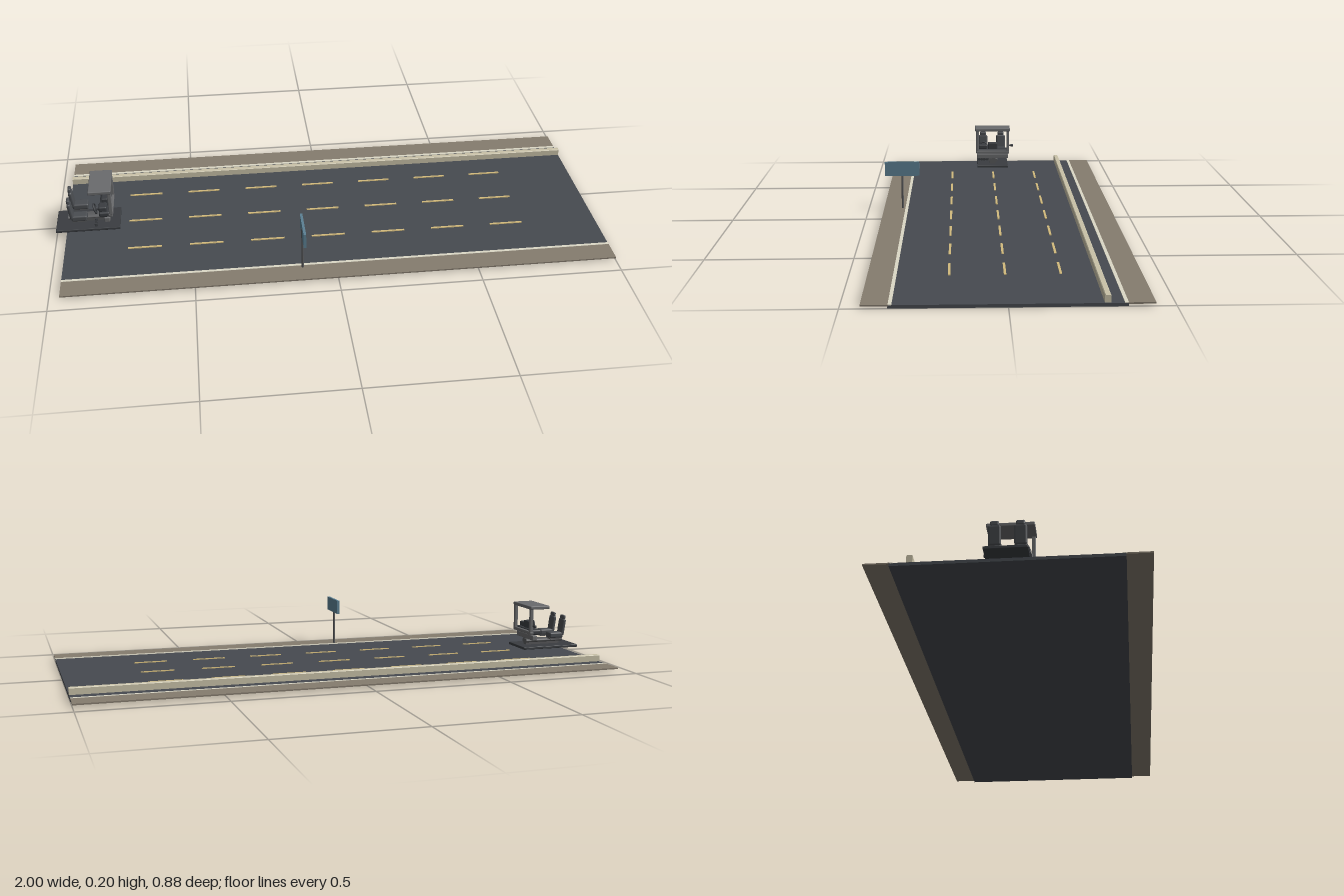
import * as THREE from 'three';
import { RoundedBoxGeometry } from 'three/addons/geometries/RoundedBoxGeometry.js';

const material = (name, color, side = THREE.FrontSide) => {
  const m = new THREE.MeshStandardMaterial({ color, side });
  m.name = name;
  return m;
};

export function createModel() {
  const asphalt = material('asphalt', 0x464a50);
  const gravel = material('gravel', 0x857c6e);
  const cream = material('cream paint', 0xdcd8c6);
  const yellow = material('lane yellow', 0xd2ba7c);
  const concrete = material('concrete', 0xc9c2a8);
  const blue = material('sign blue', 0x5c8194);
  const steel = material('steel', 0x58595b);
  const trim = material('grey trim', 0x6a6b6d);
  const dark = material('dark plastic', 0x3a3d41);
  const seatCloth = material('seat cloth', 0x4a4d51);

  const model = new THREE.Group();
  model.name = 'roadScene';

  const add = (parent, name, geometry, mat, x, y, z) => {
    const mesh = new THREE.Mesh(geometry, mat);
    mesh.name = name;
    mesh.position.set(x, y, z);
    parent.add(mesh);
    return mesh;
  };
  // Box given by its limits on each axis
  const box = (parent, name, mat, [x0, x1], [y0, y1], [z0, z1], radius = 0) => {
    const size = [x1 - x0, y1 - y0, z1 - z0];
    const geometry = radius
      ? new RoundedBoxGeometry(...size, 2, radius)
      : new THREE.BoxGeometry(...size);
    return add(parent, name, geometry, mat, (x0 + x1) / 2, (y0 + y1) / 2, (z0 + z1) / 2);
  };

  // Road slab, shoulders and edge lines
  const length = [-0.963, 1];
  box(model, 'roadSlab', asphalt, length, [0, 0.0105], [-0.357, 0.357]);
  for (const s of [-1, 1]) {
    const span = (a, b) => (s > 0 ? [a, b] : [-b, -a]);
    box(model, 'shoulder', gravel, length, [0.007, 0.012], span(0.354, 0.438));
    box(model, 'edgeLine', cream, length, [0.0095, 0.0128], span(0.345, 0.356));
  }

  // Dashed lane lines
  for (const z of [-0.178, 0, 0.178]) {
    for (let i = 0; i < 7; i++) {
      const x = -0.675 + i * 0.2228;
      box(model, 'laneDash', yellow, [x - 0.061, x + 0.061], [0.0095, 0.0135], [z - 0.004, z + 0.004]);
    }
  }

  // Barrier with a small top chamfer
  const profile = new THREE.Shape([
    [-0.0095, 0], [0.0095, 0], [0.0095, 0.022], [0.007, 0.0245], [-0.007, 0.0245], [-0.0095, 0.022],
  ].map(([x, y]) => new THREE.Vector2(x, y)));
  const barrier = add(model, 'barrier',
    new THREE.ExtrudeGeometry(profile, { depth: 1.963, bevelEnabled: false }),
    concrete, -0.963, 0.0115, -0.2945);
  barrier.rotation.y = Math.PI / 2;

  // Roadside sign
  const sign = new THREE.Group();
  sign.name = 'roadSign';
  model.add(sign);
  add(sign, 'signPole', new THREE.CylinderGeometry(0.004, 0.004, 0.165, 12), steel, -0.12, 0.0925, 0.366);
  box(sign, 'signPanel', blue, [-0.122, -0.113], [0.141, 0.195], [0.3, 0.432]);

  // Open driving cabin facing +x
  const cabin = new THREE.Group();
  cabin.name = 'cabin';
  model.add(cabin);
  box(cabin, 'basePlate', dark, [-1, -0.766], [0.023, 0.033], [-0.068, 0.068], 0.002);

  // Central tunnel on its pedestal
  box(cabin, 'tunnelStem', steel, [-0.945, -0.81], [0.033, 0.05], [-0.012, 0.012]);
  const tunnel = add(cabin, 'tunnelTop', new THREE.CylinderGeometry(0.02, 0.02, 0.157, 16), steel, -0.878, 0.049, -0.003);
  tunnel.rotation.z = Math.PI / 2;
  tunnel.scale.x = 0.42;

  // Seats
  for (const z of [-0.04, 0.04]) {
    const seat = new THREE.Group();
    seat.name = 'seat';
    cabin.add(seat);
    box(seat, 'seatCushion', seatCloth, [-0.94, -0.882], [0.062, 0.084], [z - 0.02, z + 0.02], 0.006);
    const back = box(seat, 'seatBack', seatCloth, [-0.948, -0.934], [0.07, 0.136], [z - 0.02, z + 0.02], 0.006);
    back.rotation.z = 0.14;
    box(seat, 'headrest', seatCloth, [-0.952, -0.94], [0.133, 0.151], [z - 0.014, z + 0.014], 0.005);
    box(seat, 'seatRail', steel, [-0.935, -0.885], [0.057, 0.062], [z - 0.014, z + 0.014]);
  }

  // Dashboard, screen and cross beam
  box(cabin, 'crossBeam', trim, [-0.82, -0.8], [0.058, 0.078], [-0.07, 0.07], 0.003);
  box(cabin, 'dashboard', dark, [-0.838, -0.797], [0.08, 0.1], [-0.07, 0.07], 0.006);
  box(cabin, 'centreConsole', dark, [-0.828, -0.805], [0.078, 0.128], [-0.022, 0.02], 0.004);
  box(cabin, 'instrumentHood', dark, [-0.838, -0.808], [0.098, 0.118], [0.022, 0.062], 0.005);
  box(cabin, 'dashPost', steel, [-0.825, -0.803], [0.033, 0.06], [-0.012, 0.012]);

  // Steering wheel and column
  const wheel = add(cabin, 'steeringWheel', new THREE.TorusGeometry(0.018, 0.003, 8, 24), dark, -0.852, 0.103, 0.04);
  wheel.rotation.set(0, Math.PI / 2, 0.25, 'ZYX');
  const spoke = box(cabin, 'wheelSpoke', dark, [-0.854, -0.85], [0.1, 0.106], [0.022, 0.058]);
  spoke.rotation.z = 0.25;
  const column = add(cabin, 'steeringColumn', new THREE.CylinderGeometry(0.004, 0.004, 0.024, 10), dark, -0.842, 0.1, 0.04);
  column.rotation.z = Math.PI / 2 + 0.25;

  // Pedals on a shared bar
  box(cabin, 'pedalBar', dark, [-0.852, -0.848], [0.041, 0.045], [0.019, 0.065]);
  for (let i = 0; i < 4; i++) {
    const z = 0.024 + i * 0.0115;
    box(cabin, 'pedal', dark, [-0.858, -0.848], [0.037, 0.048], [z - 0.003, z + 0.003]);
  }

  // Windscreen frame and roof
  for (const s of [-1, 1]) {
    box(cabin, 'framePost', trim, [-0.8, -0.787], [0.093, 0.186], [s * 0.067 - 0.006, s * 0.067 + 0.006], 0.002);
  }
  box(cabin, 'frameSill', trim, [-0.803, -0.787], [0.082, 0.095], [-0.073, 0.073], 0.003);
  box(cabin, 'roof', trim, [-0.868, -0.786], [0.182, 0.195], [-0.077, 0.077], 0.003);

  // Side mirror
  box(cabin, 'mirrorArm', steel, [-0.803, -0.797], [0.115, 0.119], [-0.084, -0.07]);
  box(cabin, 'mirror', dark, [-0.806, -0.796], [0.112, 0.122], [-0.092, -0.078], 0.003);

  return model;
}
